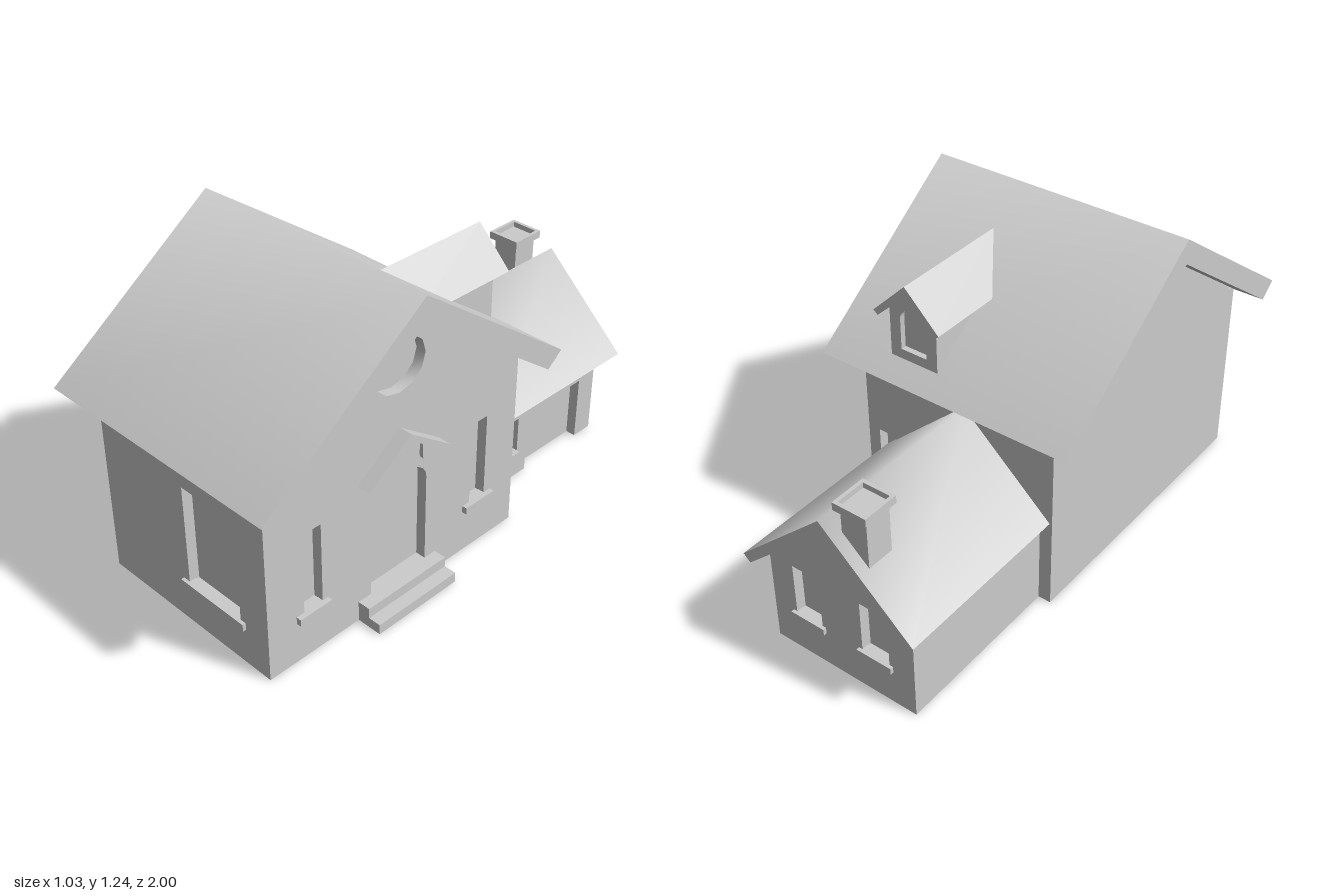
import * as THREE from 'three';
import { toCreasedNormals } from 'three/addons/utils/BufferGeometryUtils.js';

const material = new THREE.MeshStandardMaterial({ color: 0xcccccc });

export function createModel() {
  const house = new THREE.Group();
  house.name = 'house';

  const add = (name, geometry) => {
    const mesh = new THREE.Mesh(geometry, material);
    mesh.name = name;
    house.add(mesh);
    return mesh;
  };

  // Box given by its bounds
  const box = (name, x0, x1, y0, y1, z0, z1) =>
    add(name, new THREE.BoxGeometry(x1 - x0, y1 - y0, z1 - z0)
      .translate((x0 + x1) / 2, (y0 + y1) / 2, (z0 + z1) / 2));

  const poly = (pts) => new THREE.Shape(pts.map(([x, y]) => new THREE.Vector2(x, y)));
  const rect = (x0, x1, y0, y1) => poly([[x0, y0], [x1, y0], [x1, y1], [x0, y1]]);

  // Opening with an elliptical head
  const arch = (x0, x1, y0, spring, top) => {
    const s = new THREE.Shape();
    s.moveTo(x0, y0);
    s.lineTo(x1, y0);
    s.lineTo(x1, spring);
    s.absellipse((x0 + x1) / 2, spring, (x1 - x0) / 2, top - spring, 0, Math.PI, false);
    return s;
  };

  // Profile with holes, extruded from a to b along the axis it faces.
  // '+x' profiles use (-z, y), '-z' profiles use (-x, y), '+z' profiles use (x, y).
  const turn = { '+z': 0, '+x': Math.PI / 2, '-z': Math.PI };
  const slab = (name, facing, shape, a, b, holes = [], crease = 0.6) => {
    shape.holes.push(...holes);
    const g = new THREE.ExtrudeGeometry(shape, { depth: b - a, bevelEnabled: false, curveSegments: 6 });
    g.translate(0, 0, a).rotateY(turn[facing]);
    return add(name, toCreasedNormals(g, crease));
  };

  // Chevron section of a pitched roof with slanted eaves
  const chevron = (c, half, apex, eave, thick, inset, drop) => poly([
    [c - half, eave], [c - half + inset, eave - drop], [c, apex - thick],
    [c + half - inset, eave - drop], [c + half, eave], [c, apex],
  ]);

  // ---- Main house: solid core with recessed openings in the outer walls ----
  const mainGable = (u0, u1, y0) => {
    const top = (u) => 1.165 - 0.734 * Math.abs(u + 0.315);
    return poly([[u0, y0], [u1, y0], [u1, top(u1)], [-0.315, 1.165], [u0, top(u0)]]);
  };
  slab('mainCore', '+x', mainGable(-0.865, 0.235, 0), -0.41, 0.365);

  const roundWindow = new THREE.Path();
  roundWindow.absellipse(-0.315, 0.943, 0.117, 0.103, 0, Math.PI * 2);
  slab('entranceWall', '+x', mainGable(-0.905, 0.275, 0), 0.365, 0.405, [
    arch(-0.446, -0.182, 0.08, 0.44, 0.52),
    rect(-0.749, -0.668, 0.19, 0.51),
    rect(0.045, 0.123, 0.2, 0.535),
    roundWindow,
  ]);
  slab('frontWall', '+z', rect(-0.41, 0.365, 0, 0.73), 0.865, 0.905, [rect(0.01, 0.27, 0.17, 0.57)]);
  slab('backWall', '-z', rect(-0.365, 0.41, 0, 0.73), 0.235, 0.275, [rect(-0.355, -0.28, 0.17, 0.42)]);
  slab('mainRoof', '+x', chevron(-0.315, 0.685, 1.24, 0.745, 0.095, 0.065, 0.052), -0.52, 0.515, [], 1.3);

  // Window sills of the main house
  box('frontSill', -0.02, 0.295, 0.147, 0.175, 0.88, 0.918);
  box('entranceSill', 0.38, 0.425, 0.165, 0.192, 0.644, 0.783);
  box('entranceSill', 0.38, 0.425, 0.175, 0.202, -0.155, -0.01);
  box('backSill', 0.265, 0.37, 0.145, 0.172, -0.298, -0.25);

  // ---- Entrance: steps, canopy and its brackets ----
  box('lowerStep', 0.39, 0.505, 0, 0.04, 0.13, 0.505);
  box('upperStep', 0.39, 0.455, 0.04, 0.08, 0.13, 0.505);
  slab('canopy', '+x', chevron(-0.315, 0.19, 0.706, 0.57, 0.026, 0.018, 0.018), 0.395, 0.46);
  for (const side of [-1, 1]) {
    const u = -0.315 + side * 0.122;
    const bracket = new THREE.Shape();
    bracket.moveTo(u - 0.024, 0.6);
    bracket.lineTo(u - 0.024, 0.55);
    bracket.absellipse(u, 0.55, 0.024, 0.025, Math.PI, Math.PI * 2, false);
    bracket.lineTo(u + 0.024, 0.6);
    slab('canopyBracket', '+x', bracket, 0.395, 0.42);
  }

  // ---- Dormer on the back slope ----
  const dormerGable = () => poly([[-0.26, 0.78], [-0.06, 0.78], [-0.06, 0.995], [-0.16, 1.095], [-0.26, 0.995]]);
  slab('dormerCore', '-z', dormerGable(), -0.1, 0.27);
  slab('dormerWall', '-z', dormerGable(), 0.27, 0.292, [arch(-0.215, -0.105, 0.84, 0.965, 1.01)]);
  slab('dormerRoof', '-z', chevron(-0.16, 0.14, 1.125, 0.985, 0.04, 0.018, 0.015), -0.155, 0.328, [], 1.3);

  // ---- Garage wing ----
  const wingTop = (u) => 0.65 - 0.918 * Math.abs(u - 0.036);
  const wingGable = (u0, u1) => poly([[u0, 0], [u1, 0], [u1, wingTop(u1)], [0.036, 0.65], [u0, wingTop(u0)]]);
  slab('wingCore', '-z', wingGable(-0.21, 0.36), 0.25, 0.915);
  slab('wingEndWall', '-z', wingGable(-0.25, 0.36), 0.915, 0.955, [
    rect(-0.15, -0.035, 0.16, 0.37),
    rect(0.14, 0.255, 0.16, 0.37),
  ]);
  const garageWall = poly([
    [0.25, 0], [0.55, 0], [0.55, 0.262], [0.864, 0.262], [0.864, 0], [0.915, 0], [0.915, 0.385], [0.25, 0.385],
  ]);
  slab('garageWall', '+x', garageWall, 0.21, 0.25, [rect(0.3, 0.497, 0.105, 0.262)]);
  slab('wingRoof', '-z', chevron(0.036, 0.364, 0.694, 0.362, 0.055, 0.028, 0.026), 0.265, 1.0, [], 1.5);
  box('garageWindowSill', 0.225, 0.264, 0.09, 0.114, -0.497, -0.3);
  box('wingSill', 0.02, 0.165, 0.14, 0.165, -0.968, -0.93);
  box('wingSill', -0.27, -0.125, 0.14, 0.165, -0.968, -0.93);

  // ---- Chimney with a hollow cap ----
  box('chimneyShaft', -0.195, -0.09, 0.5, 0.745, -0.952, -0.845);
  const cap = new THREE.ExtrudeGeometry(
    Object.assign(rect(-0.21, -0.075, 0.828, 0.97), { holes: [rect(-0.197, -0.088, 0.842, 0.956)] }),
    { depth: 0.03, bevelEnabled: false });
  // Section drawn in (x, -z), laid flat
  add('chimneyCap', cap.rotateX(-Math.PI / 2).translate(0, 0.738, 0));
  box('chimneyCapFloor', -0.2, -0.085, 0.739, 0.747, -0.959, -0.839);

  return house;
}
